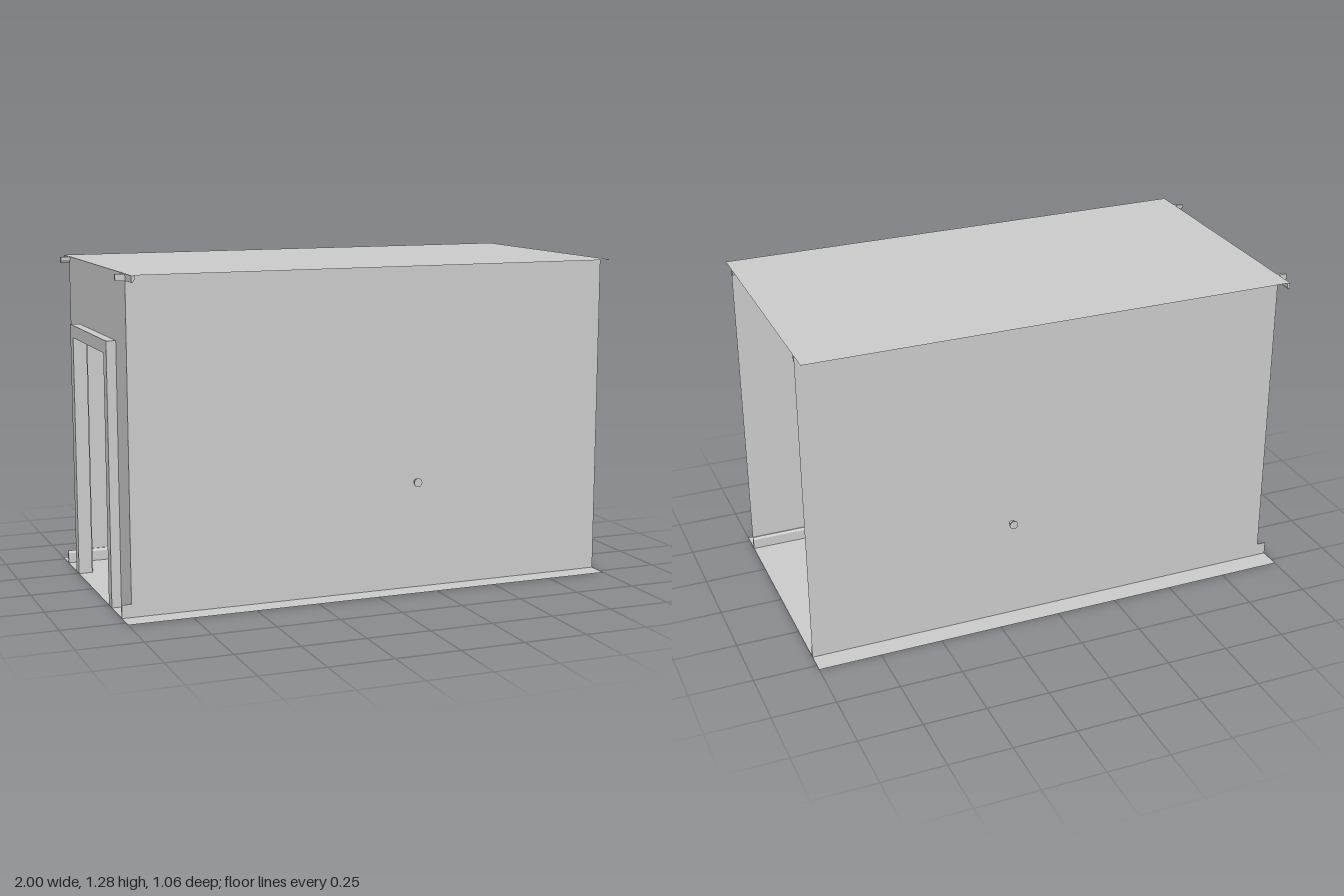
import * as THREE from 'three';

const HEIGHT = 1.28, WALL_Z = 0.44, END_X = -0.963;

export function createModel() {
  const room = new THREE.Group();
  room.name = 'room';
  const solid = new THREE.MeshStandardMaterial({ color: 0xcccccc });
  const sheet = new THREE.MeshStandardMaterial({ color: 0xcccccc, side: THREE.DoubleSide });

  const add = (name, geometry, material = solid, parent = room) => {
    const mesh = new THREE.Mesh(geometry, material);
    mesh.name = name;
    parent.add(mesh);
    return mesh;
  };
  const polygon = (points) => new THREE.Shape(points.map(([x, y]) => new THREE.Vector2(x, y)));
  const extrude = (shape, depth) => new THREE.ExtrudeGeometry(shape, { depth, bevelEnabled: false });
  // doorway-shaped outline: an upside-down U between two half widths and heights
  const portal = (outer, outerTop, inner, innerTop) => polygon([
    [-outer, 0], [-inner, 0], [-inner, innerTop], [inner, innerTop],
    [inner, 0], [outer, 0], [outer, outerTop], [-outer, outerTop],
  ]);

  // floor and ceiling sheets
  add('floor', new THREE.PlaneGeometry(2, 1.056).rotateX(-Math.PI / 2), sheet);
  add('ceiling', new THREE.PlaneGeometry(1 - END_X, 1.056).rotateX(-Math.PI / 2), sheet)
    .position.set((1 + END_X) / 2, HEIGHT, 0);

  // long side walls
  for (const side of [1, -1]) {
    add(side > 0 ? 'frontWall' : 'backWall', new THREE.PlaneGeometry(1 - END_X, HEIGHT), sheet)
      .position.set((1 + END_X) / 2, HEIGHT / 2, side * WALL_Z);
  }

  // end wall with doorway; the opposite end stays open
  const endWall = add('doorWall',
    new THREE.ShapeGeometry(portal(WALL_Z, HEIGHT, 0.262, 0.99)), sheet);
  endWall.rotation.y = Math.PI / 2;
  endWall.position.x = END_X;

  // door frame: jambs through the wall, with a raised casing on the inside
  const frame = new THREE.Group();
  frame.name = 'doorFrame';
  room.add(frame);
  for (const [name, shape, x, depth] of [
    ['jamb', portal(0.29, 1.02, 0.245, 0.97), -1, 0.055],
    ['casing', portal(0.29, 1.02, 0.262, 0.99), -0.945, 0.007],
  ]) {
    const part = add(name, extrude(shape, depth), solid, frame);
    part.rotation.y = Math.PI / 2;
    part.position.x = x;
  }

  // mouldings: x is the distance from the wall, y is height
  const baseProfile = polygon([[0, 0], [0.01, 0], [0.01, 0.041], [0.004, 0.051], [0, 0.051]]);
  const crownProfile = polygon([
    [0, 1.254], [0.005, 1.254], [0.012, 1.266], [0.012, 1.279], [0, 1.279],
  ]);
  for (const [name, profile] of [['baseboard', baseProfile], ['crownMoulding', crownProfile]]) {
    for (const side of [1, -1]) {
      const strip = add(name, extrude(profile, 2));
      strip.rotation.y = side * Math.PI / 2;
      strip.position.set(-side, 0, side * WALL_Z);
    }
  }
  add('endCrownMoulding', extrude(crownProfile, 1.056)).position.set(END_X, 0, -0.528);
  for (const z of [-WALL_Z, 0.29]) {
    add('endBaseboard', extrude(baseProfile, 0.15)).position.set(END_X, 0, z);
  }

  // shallow bowl ceiling lamp
  const bowl = [[0, 1.234], [0.045, 1.235], [0.078, 1.243], [0.098, 1.256],
    [0.104, 1.265], [0.114, 1.273], [0.115, 1.279]];
  add('ceilingLamp', new THREE.LatheGeometry(bowl.map(([r, y]) => new THREE.Vector2(r, y)), 40), sheet)
    .position.x = 0.02;

  // small knobs: round plate, stem and flattened ball outside each long wall
  for (const side of [1, -1]) {
    const knob = new THREE.Group();
    knob.name = 'knob';
    knob.position.set(0.18, 0.433, 0);
    room.add(knob);
    const disc = (name, r, length, z) =>
      add(name, new THREE.CylinderGeometry(r, r, length, 24).rotateX(Math.PI / 2), solid, knob)
        .position.z = side * z;
    disc('plate', 0.017, 0.004, 0.491);
    disc('stem', 0.004, 0.014, 0.484);
    const ball = add('ball', new THREE.SphereGeometry(0.013, 20, 14), solid, knob);
    ball.scale.z = 0.55;
    ball.position.z = side * 0.475;
  }
  return room;
}
